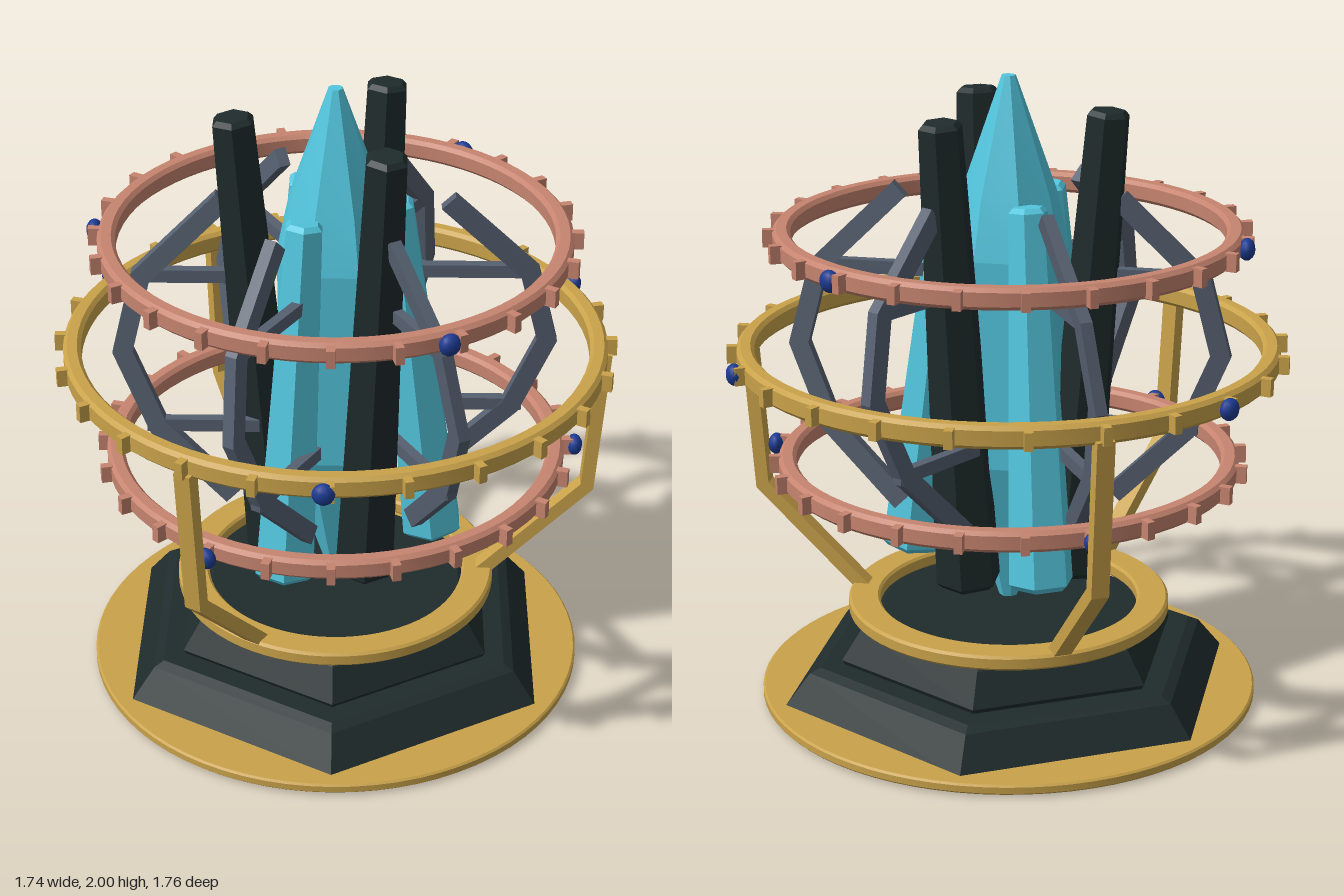
import * as THREE from 'three';
import { toCreasedNormals } from 'three/addons/utils/BufferGeometryUtils.js';

const mat = (name, color) => {
  const m = new THREE.MeshStandardMaterial({ color });
  m.name = name;
  return m;
};
const V2 = (x, y) => new THREE.Vector2(x, y);

export function createModel() {
  const model = new THREE.Group();
  model.name = 'crystalReactor';
  const gold = mat('gold', 0xc9a24a);
  const copper = mat('copper', 0xc6846f);
  const dark = mat('darkStone', 0x1f2b2c);
  const cyan = mat('cyanCrystal', 0x53c6de);
  const steel = mat('steelGrey', 0x566070);
  const blue = mat('sapphire', 0x1c3a92);

  const add = (name, geo, material, parent = model) => {
    const m = new THREE.Mesh(geo, material);
    m.name = name;
    parent.add(m);
    return m;
  };
  // Group turned about y; local +x points outward at angle a (from +x towards +z)
  const spoke = (name, a) => {
    const g = new THREE.Group();
    g.name = name;
    g.rotation.y = -a;
    model.add(g);
    return g;
  };
  const lathe = (pts, sides, crease = 0.4, phase = 0) =>
    toCreasedNormals(new THREE.LatheGeometry(pts.map(p => V2(...p)), sides, phase), crease);

  // Flat ring with small chamfers
  const ring = (inner, outer, y0, y1, c) => lathe([
    [inner, y0 + c], [inner + c, y0], [outer - c, y0], [outer, y0 + c],
    [outer, y1 - c], [outer - c, y1], [inner + c, y1], [inner, y1 - c], [inner, y0 + c],
  ], 72);

  // Bent bar: mitred band around a path in the radius/height plane, leaning sideways by `lean`
  const bar = (path, thick, width, lean = 0) => {
    const p = path.map(q => V2(...q));
    const left = [], right = [];
    p.forEach((q, i) => {
      const d0 = (i ? q.clone().sub(p[i - 1]) : p[1].clone().sub(q)).normalize();
      const d1 = (i < p.length - 1 ? p[i + 1].clone().sub(q) : d0.clone()).normalize();
      const n = V2(-d0.y - d1.y, d0.x + d1.x).normalize();
      n.multiplyScalar(thick / 2 / (-n.x * d0.y + n.y * d0.x));
      left.push(q.clone().add(n));
      right.unshift(q.clone().sub(n));
    });
    const geo = new THREE.ExtrudeGeometry(new THREE.Shape([...left, ...right]), {
      depth: width, bevelEnabled: false,
    });
    geo.translate(0, 0, -width / 2);
    const pos = geo.attributes.position;
    for (let i = 0; i < pos.count; i++) pos.setZ(i, pos.getZ(i) + lean * (pos.getY(i) - path[0][1]));
    geo.computeVertexNormals();
    return geo;
  };

  // Stepped hexagonal base
  add('lowerBase', lathe([[0, 0], [0.74, 0], [0.75, 0.025], [0.66, 0.135], [0.625, 0.15], [0, 0.15]], 6), dark);
  add('upperBase', lathe([[0, 0.14], [0.54, 0.14], [0.555, 0.165], [0.49, 0.262], [0.46, 0.28], [0, 0.28]], 6), dark);
  add('baseRim', ring(0.62, 0.79, 0.006, 0.038, 0.006), gold);
  add('collar', ring(0.41, 0.51, 0.278, 0.325, 0.008), gold);

  // Central crystal
  add('coreCrystal', lathe([
    [0, 0.32], [0.03, 0.32], [0.185, 0.8], [0.19, 1.46], [0.15, 1.64], [0.022, 2], [0, 2],
  ], 8, 0.2, Math.PI / 8), cyan);

  // Six tapered hexagonal rods, alternating in tilt and colour
  const rod = (len, r0, r1) => lathe([
    [0, 0], [r0 - 0.018, 0], [r0, 0.018], [r1, len - 0.015], [r1 - 0.015, len], [0, len],
  ], 6);
  for (let i = 0; i < 6; i++) {
    const isCyan = i % 2 === 0;
    const [rb, yb, rt, yt] = isCyan ? [0.31, 0.465, 0.178, 1.635] : [0.19, 0.415, 0.305, 1.905];
    const g = spoke(isCyan ? 'cyanRod' : 'darkRod', i * Math.PI / 3);
    const m = add('rod', rod(Math.hypot(rt - rb, yt - yb), 0.104, isCyan ? 0.062 : 0.068),
      isCyan ? cyan : dark, g);
    m.position.set(rb, yb, 0);
    m.rotation.z = -Math.atan2(rt - rb, yt - yb);
  }

  // Studded rings with three gems each
  const rings = [
    { name: 'upperRing', m: copper, y: 1.508, r: 0.72, h: 0.066, gem: 63, gr: 0.735 },
    { name: 'middleRing', m: gold, y: 1.14, r: 0.84, h: 0.07, gem: 91.2, gr: 0.865 },
    { name: 'lowerRing', m: copper, y: 0.778, r: 0.72, h: 0.066, gem: -0.5, gr: 0.755 },
  ];
  for (const q of rings) {
    add(q.name, ring(q.r - 0.055, q.r, q.y - q.h / 2, q.y + q.h / 2, 0.012), q.m);
    for (let i = 0; i < 24; i++) {
      const g = spoke(q.name + 'Stud', i * Math.PI / 12);
      add('stud', new THREE.BoxGeometry(0.05, 0.055, 0.026), q.m, g).position.set(q.r + 0.005, q.y, 0);
    }
    for (let i = 0; i < 3; i++) {
      const g = spoke(q.name + 'Gem', THREE.MathUtils.degToRad(q.gem + i * 120));
      const s = add('gem', new THREE.SphereGeometry(0.034, 12, 8), blue, g);
      s.position.set(q.gr, q.y, 0);
      s.scale.x = 0.75;
    }
  }

  // Three bent legs carrying the middle ring
  const leg = bar([[0.835, 1.12], [0.8, 0.64], [0.47, 0.31]], 0.042, 0.055);
  for (let i = 0; i < 3; i++) add('leg', leg, gold, spoke('supportLeg', i * Math.PI * 2 / 3));

  // Six curved cage ribs with inner struts
  const lean = 0.1;
  const rib = bar([[0.34, 1.635], [0.595, 1.385], [0.655, 1.14], [0.55, 0.885], [0.32, 0.65]], 0.06, 0.038, lean);
  const strut = new THREE.BoxGeometry(0.35, 0.042, 0.032);
  for (let i = 0; i < 6; i++) {
    const g = spoke('cageRib', i * Math.PI / 3);
    add('rib', rib, steel, g);
    for (const y of [1.39, 0.892]) add('strut', strut, steel, g).position.set(0.41, y, lean * (y - 1.635));
  }
  return model;
}
